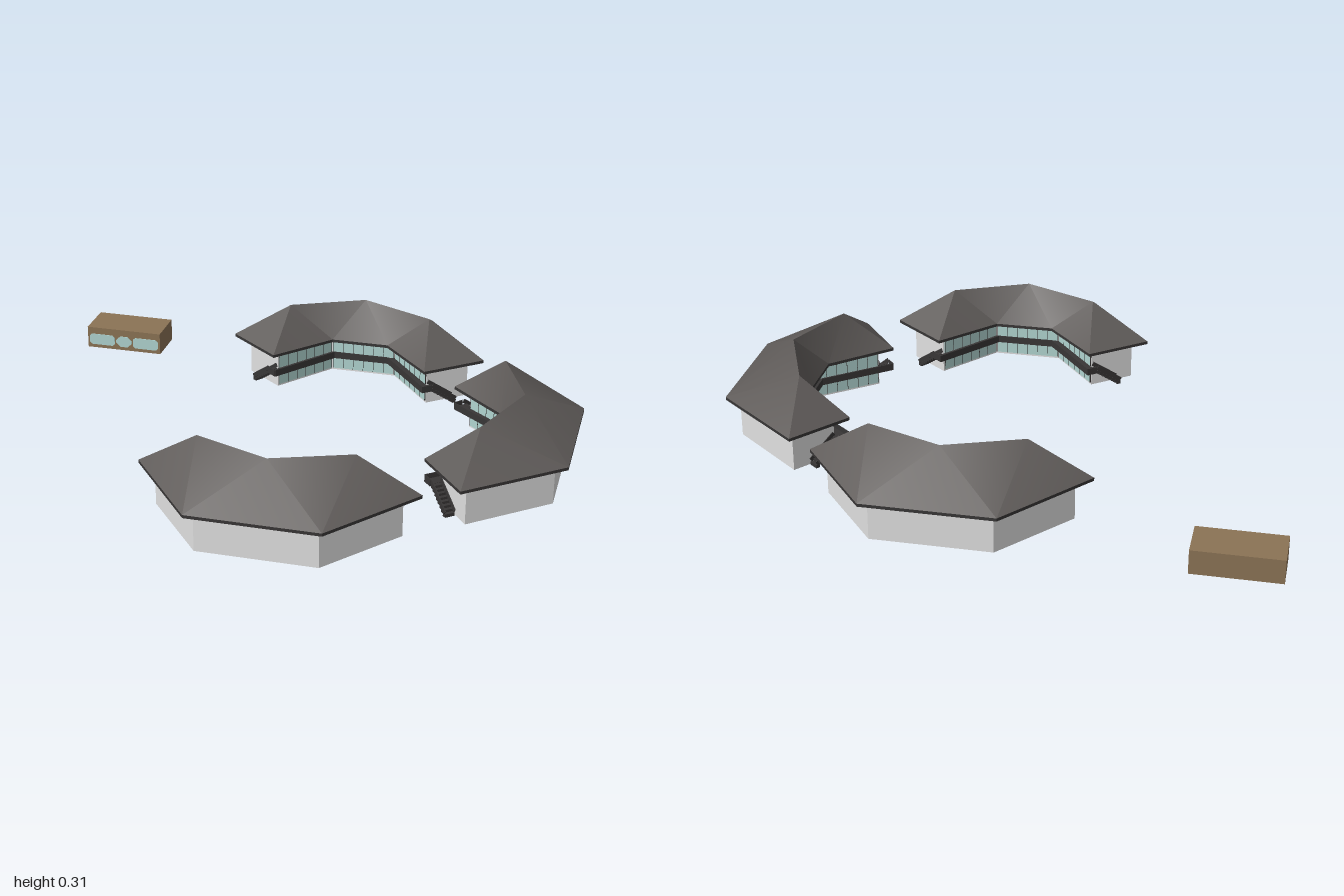
import * as THREE from 'three';
import { toCreasedNormals } from 'three/addons/utils/BufferGeometryUtils.js';

const mat = (name, color) => Object.assign(new THREE.MeshStandardMaterial({ color }), { name });

export function createModel() {
  const wallMat = mat('pale wall', 0xe0e0e0);
  const roofMat = mat('roof grey', 0x5e5a58);
  const darkMat = mat('dark trim', 0x383636);
  const glassMat = mat('pale glass', 0xb0d4d0);
  const woodMat = mat('brown', 0x8b7355);

  const add = (group, name, geometry, material) => {
    const mesh = new THREE.Mesh(geometry, material);
    mesh.name = name;
    group.add(mesh);
    return mesh;
  };

  // Horizontal slab from [x, z] corners between two heights
  const slab = (points, y0, y1) => {
    const shape = new THREE.Shape(points.map(([x, z]) => new THREE.Vector2(x, -z)));
    return new THREE.ExtrudeGeometry(shape, { depth: y1 - y0, bevelEnabled: false })
      .rotateX(-Math.PI / 2).translate(0, y0, 0);
  };

  // Upright thin plate standing on the line a-b
  const plate = ([ax, az], [bx, bz], y0, y1, thick) =>
    new THREE.BoxGeometry(Math.hypot(bx - ax, bz - az), y1 - y0, thick)
      .rotateY(-Math.atan2(bz - az, bx - ax))
      .translate((ax + bx) / 2, (y0 + y1) / 2, (az + bz) / 2);

  const lerp = ([ax, az], [bx, bz], t) => [ax + (bx - ax) * t, az + (bz - az) * t];

  // Half paths on the +x side, mirrored into full paths from +x to -x
  const full = half => [...half, ...half.slice().reverse().map(([x, z]) => [-x, z])];
  const outerWall = full([[0.418, 0.54], [0.205, 0.8]]);
  const innerWall = full([[0.284, 0.435], [0.123, 0.635]]);
  const deckWall = full([[0.31, 0.402], [0.123, 0.637]]);
  const deckEdge = full([[0.28, 0.378], [0.104, 0.597]]);
  const outerEave = full([[0.478, 0.53], [0.225, 0.845]]);
  const innerEave = full([[0.285, 0.376], [0.106, 0.571]]);
  const ring = (outer, inner) => [...outer, ...inner.slice().reverse()];

  // Hipped roof skin over the bent plan
  const roofGeometry = () => {
    const eave = 0.168;
    const o = outerEave.map(([x, z]) => new THREE.Vector3(x, eave, z));
    const i = innerEave.map(([x, z]) => new THREE.Vector3(x, eave, z));
    const r = [[0.265, 0.3, 0.555], [0, 0.305, 0.662], [-0.265, 0.3, 0.555]]
      .map(p => new THREE.Vector3(...p));
    const faces = [
      [o[0], i[0], r[0]], [o[3], i[3], r[2]],
      [o[0], o[1], r[0]], [o[1], r[1], r[0]], [o[1], o[2], r[1]],
      [o[2], r[2], r[1]], [o[2], o[3], r[2]],
      [i[0], i[1], r[0]], [i[1], r[1], r[0]], [i[1], i[2], r[1]],
      [i[2], r[2], r[1]], [i[2], i[3], r[2]],
    ];
    // every roof face looks upward
    const points = faces.flatMap(([a, b, c]) => {
      const up = b.clone().sub(a).cross(c.clone().sub(a)).y > 0;
      return up ? [a, b, c] : [a, c, b];
    });
    const geometry = new THREE.BufferGeometry().setFromPoints(points);
    return toCreasedNormals(geometry, 0.55);
  };

  // Stair going down along one end of a building
  const makeStair = side => {
    const stair = new THREE.Group();
    stair.name = 'stair';
    const steps = 8, run = 0.1, top = 0.088, base = 0.017;
    for (let k = 0; k < steps; k++) {
      const y = top - (top - base) * (k + 1) / steps;
      const tread = add(stair, 'step', new THREE.BoxGeometry(run / steps + 0.003, 0.012, 0.036), darkMat);
      tread.position.set(run * (k + 0.5) / steps, y + 0.003, 0);
    }
    for (const s of [-1, 1]) {
      const rail = add(stair, 'stairRail',
        new THREE.BoxGeometry(Math.hypot(run, top - base), 0.016, 0.003), darkMat);
      rail.position.set(run / 2, (top + base) / 2 + 0.014, s * 0.018);
      rail.rotation.z = -Math.atan2(top - base, run);
    }
    const angle = Math.atan2(0.626, 0.78);
    stair.position.set(side * 0.3, 0, 0.42);
    stair.rotation.y = side > 0 ? -angle : angle - Math.PI;
    return stair;
  };

  // Two-storey bent building whose outer side faces +z
  const makeBuilding = name => {
    const b = new THREE.Group();
    b.name = name;
    add(b, 'walls', slab(ring(outerWall, innerWall), 0.015, 0.16), wallMat);
    add(b, 'eaves', slab(ring(outerEave, innerEave), 0.157, 0.168), darkMat);
    add(b, 'roof', roofGeometry(), roofMat);
    add(b, 'balconyFloor', slab(ring(deckWall, deckEdge), 0.08, 0.088), darkMat);

    for (let s = 0; s < 3; s++) {
      add(b, 'balconyRail', plate(deckEdge[s], deckEdge[s + 1], 0.08, 0.106, 0.003), darkMat);
      // Glazing on both floors with slim mullions
      const [p, q] = [innerWall[s], innerWall[s + 1]];
      const [a, c] = [lerp(p, q, 0.02), lerp(p, q, 0.98)];
      for (const [y0, y1] of [[0.022, 0.08], [0.09, 0.148]]) {
        add(b, 'window', plate(a, c, y0, y1, 0.006), glassMat);
        for (let k = 0; k <= 6; k++) {
          const m = lerp(a, c, k / 6);
          const n = lerp(a, c, k / 6 + 0.007);
          add(b, 'mullion', plate(m, n, y0, y1, 0.008), darkMat);
        }
      }
    }
    for (const [k, side] of [[0, 1], [3, -1]]) {
      add(b, 'landingRail', plate(deckEdge[k], deckWall[k], 0.08, 0.106, 0.003), darkMat);
      b.add(makeStair(side));
    }
    return b;
  };

  const model = new THREE.Group();
  model.name = 'buildingComplex';
  for (const [name, x, z, turn] of [
    ['frontBuilding', 0.095, 0, 0],
    ['leftBuilding', 0.155, -0.003, Math.PI / 2],
    ['backBuilding', 0.117, -0.005, Math.PI],
  ]) {
    const building = makeBuilding(name);
    building.position.set(x, 0, z);
    building.rotation.y = turn;
    model.add(building);
  }

  // Small brown hut with chamfered windows on its front
  const hut = new THREE.Group();
  hut.name = 'hut';
  hut.position.set(-0.85, 0, -0.705);
  add(hut, 'hutBody', new THREE.BoxGeometry(0.3, 0.085, 0.15).translate(0, 0.0425, 0), woodMat);
  for (const [x, w, cut] of [[-0.09, 0.104, 0.009], [0, 0.066, 0.018], [0.09, 0.104, 0.009]]) {
    const hw = w / 2, hh = 0.022;
    const pane = new THREE.Shape([
      [hw - cut, -hh], [hw, -hh + cut], [hw, hh - cut], [hw - cut, hh],
      [cut - hw, hh], [-hw, hh - cut], [-hw, cut - hh], [cut - hw, -hh],
    ].map(p => new THREE.Vector2(...p)));
    add(hut, 'hutWindow', new THREE.ExtrudeGeometry(pane, { depth: 0.003, bevelEnabled: false })
      .translate(x, 0.036, 0.0745), glassMat);
  }
  model.add(hut);
  return model;
}
